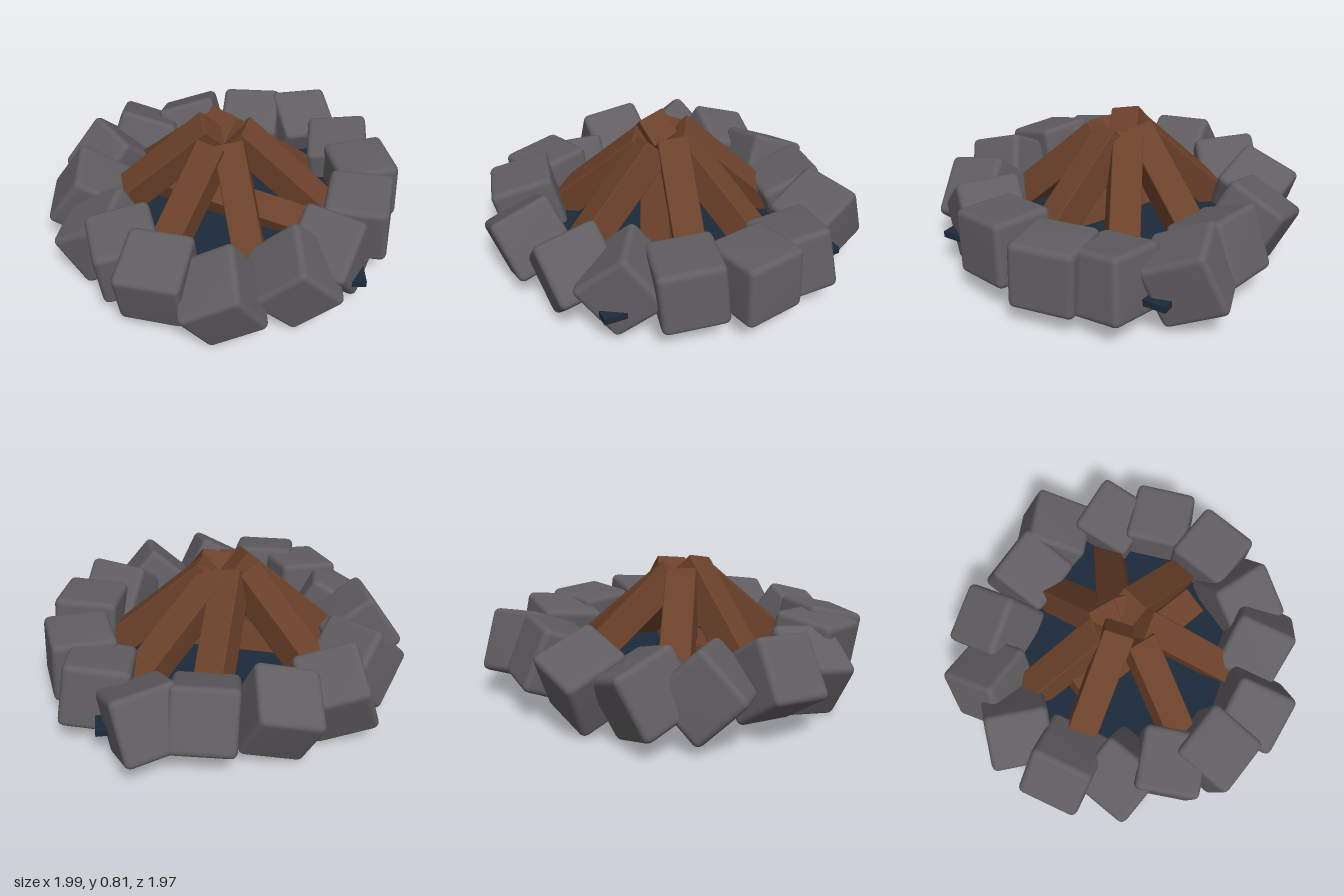
import * as THREE from 'three';
import { RoundedBoxGeometry } from 'three/addons/geometries/RoundedBoxGeometry.js';
import { mergeVertices } from 'three/addons/utils/BufferGeometryUtils.js';

const flat = (name, color) => {
  const m = new THREE.MeshStandardMaterial({ color });
  m.name = name;
  return m;
};

// Box with worn edges and soft, averaged normals
function wornBox(w, h, d, radius) {
  const g = new RoundedBoxGeometry(w, h, d, 2, radius);
  g.deleteAttribute('normal');
  g.deleteAttribute('uv');
  const merged = mergeVertices(g, 1e-4);
  merged.computeVertexNormals();
  return merged;
}

export function createModel() {
  const stoneGrey = flat('stone grey', 0x615e61);
  const wood = flat('wood brown', 0x6b412a);
  const ash = flat('dark slate', 0x1c2a3b);
  const model = new THREE.Group();
  model.name = 'campfire';

  const add = (name, geometry, material, parent = model) => {
    const mesh = new THREE.Mesh(geometry, material);
    mesh.name = name;
    parent.add(mesh);
    return mesh;
  };

  // Square ash bed under the logs
  add('ashBed', new THREE.BoxGeometry(1.37, 0.035, 1.37), ash).position.set(0.035, 0.21, -0.055);

  // Ring of tumbled stones: x, y, z, pitch, yaw, roll
  const stones = [
    [-0.19, 0.28, -0.77, -0.4, -0.08, 0.3],
    [0.18, 0.29, -0.75, 0.4, -0.15, 0.05],
    [0.48, 0.285, -0.74, 0.42, 0.25, -0.1],
    [0.70, 0.28, -0.43, 0.15, -0.12, 0.15],
    [0.79, 0.295, -0.16, 0, 0.18, 0.05],
    [0.73, 0.315, 0.19, 0.1, -0.25, 0.05],
    [0.55, 0.295, 0.45, 0.7, -0.56, 0],
    [0.34, 0.285, 0.64, 0.2, 0.05, 0.75],
    [-0.04, 0.275, 0.76, 0.3, 0.08, 0.52],
    [-0.36, 0.31, 0.66, 0.25, -0.25, 0],
    [-0.53, 0.31, 0.47, 0.1, 0.25, 0.12],
    [-0.67, 0.25, 0.26, 0.1, -0.25, 0.5],
    [-0.77, 0.295, -0.05, 0.1, 0, -0.6],
    [-0.68, 0.28, -0.39, 0.1, 0.65, 0.8],
    [-0.51, 0.275, -0.64, -0.35, 0, -0.32],
  ];
  const ring = new THREE.Group();
  ring.name = 'stoneRing';
  model.add(ring);
  const stoneGeometry = wornBox(0.35, 0.35, 0.35, 0.035);
  for (const [x, y, z, pitch, yaw, roll] of stones) {
    const stone = add('stone', stoneGeometry, stoneGrey, ring);
    stone.position.set(x, y, z);
    stone.rotation.set(pitch, yaw, roll, 'YXZ');
  }

  // Squared logs: upper end, lower end, roll about the length
  const logs = [
    [[-0.04, 0.715, -0.12], [0.18, 0.12, -0.72], 0.25],
    [[0.02, 0.69, -0.10], [0.60, 0.12, -0.42], -0.2],
    [[0.06, 0.71, -0.05], [0.70, 0.12, 0.10], 0.15],
    [[0.02, 0.69, 0.05], [0.16, 0.12, 0.65], 0.3],
    [[-0.06, 0.68, 0.06], [-0.43, 0.12, 0.57], -0.1],
    [[-0.07, 0.75, -0.03], [-0.72, 0.15, -0.05], -0.3],
    [[-0.10, 0.70, -0.10], [-0.55, 0.12, -0.50], 0.1],
    [[-0.37, 0.31, -0.16], [0.43, 0.25, 0.20], 0.35], // log lying across the bed
  ];
  const pile = new THREE.Group();
  pile.name = 'logPile';
  model.add(pile);
  for (const [top, bottom, roll] of logs) {
    const a = new THREE.Vector3(...top);
    const b = new THREE.Vector3(...bottom);
    const log = add('log', wornBox(0.165, 0.165, a.distanceTo(b), 0.008), wood, pile);
    log.position.copy(a).add(b).multiplyScalar(0.5);
    log.lookAt(b);
    log.rotateZ(roll);
  }
  return model;
}
